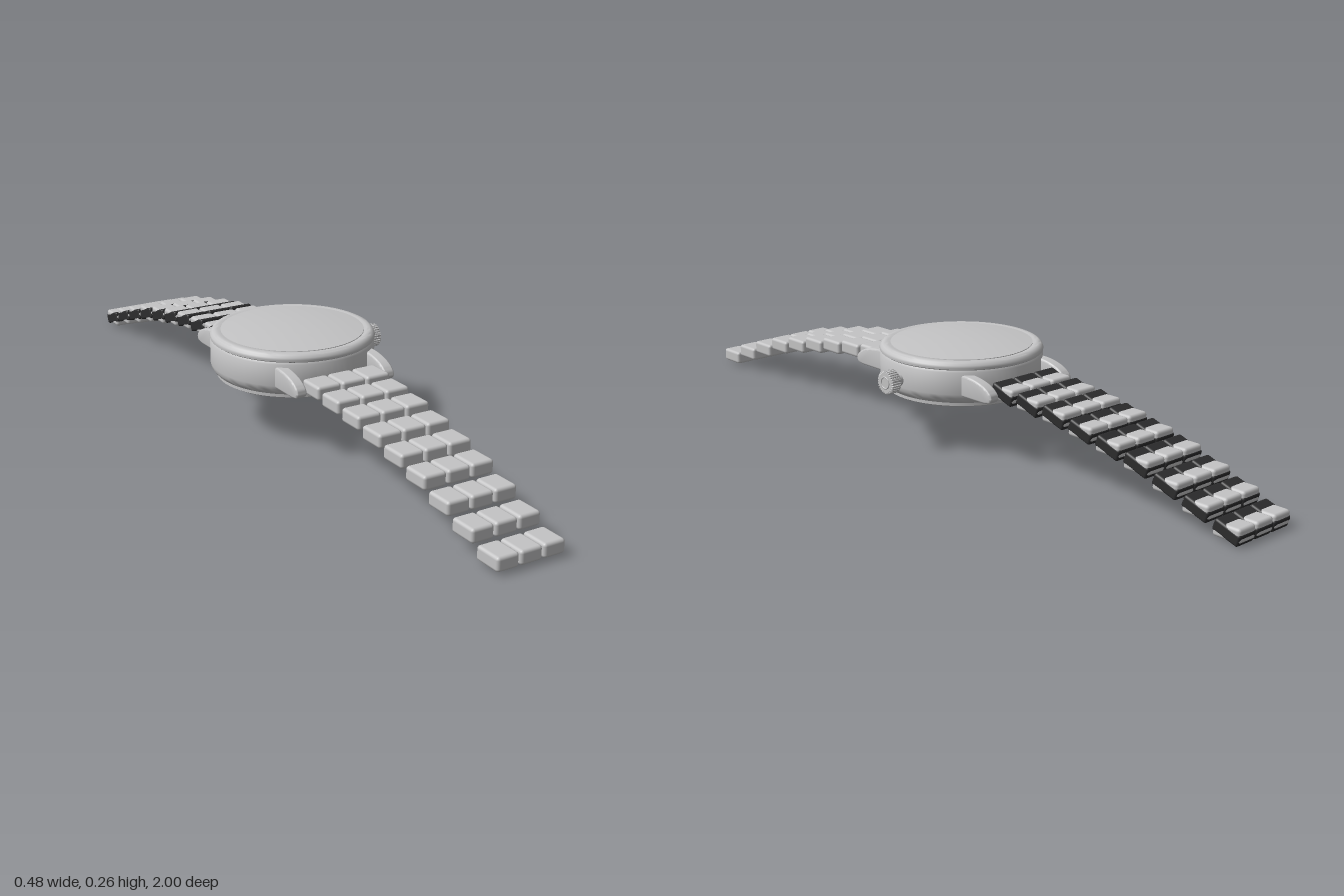
import * as THREE from 'three';
import { toCreasedNormals } from 'three/addons/utils/BufferGeometryUtils.js';
import { RoundedBoxGeometry } from 'three/addons/geometries/RoundedBoxGeometry.js';

const CX = -0.025; // case axis; the crown sticks out towards +x

export function createModel() {
  const model = new THREE.Group();
  model.name = 'wristwatch';
  const steel = new THREE.MeshStandardMaterial({ color: 0xc4c4c5 });
  steel.name = 'steel';
  const dark = new THREE.MeshStandardMaterial({ color: 0x2c2c2d });
  dark.name = 'dark lining';

  const add = (parent, name, geometry, material, x = 0, y = 0, z = 0) => {
    const mesh = new THREE.Mesh(geometry, material);
    mesh.name = name;
    mesh.position.set(x, y, z);
    parent.add(mesh);
    return mesh;
  };
  const lathe = (points) => toCreasedNormals(
    new THREE.LatheGeometry(points.map(([r, y]) => new THREE.Vector2(r, y)), 72), 0.6);

  // Case: shallow dished back, stepped lower rim, barrel side
  add(model, 'caseBody', lathe([
    [0, 0.147], [0.06, 0.145], [0.11, 0.141], [0.135, 0.136], [0.145, 0.133],
    [0.195, 0.133], [0.2, 0.136], [0.2, 0.144], [0.203, 0.146], [0.209, 0.152],
    [0.214, 0.16], [0.216, 0.17], [0.216, 0.228], [0.212, 0.234], [0.19, 0.235],
  ]), steel, CX);
  add(model, 'bezel', lathe([
    [0.19, 0.233], [0.212, 0.233], [0.216, 0.236], [0.217, 0.24], [0.215, 0.246],
    [0.21, 0.252], [0.204, 0.255], [0.196, 0.255], [0.187, 0.253],
  ]), steel, CX);
  const dome = [[0.189, 0.25], [0.188, 0.255]];
  for (let i = 1; i <= 8; i++) {
    const r = 0.186 * (1 - i / 8);
    dome.push([r, 0.267 - 0.012 * (r / 0.188) ** 2]);
  }
  add(model, 'crystal', lathe(dome), steel, CX);

  // Lugs: tapering horns with soft edges, drawn in (z, y) and extruded across x
  const horn = new THREE.Shape();
  horn.moveTo(0.1, 0.17);
  horn.lineTo(0.235, 0.17);
  horn.quadraticCurveTo(0.262, 0.171, 0.261, 0.181);
  horn.quadraticCurveTo(0.258, 0.195, 0.23, 0.206);
  horn.quadraticCurveTo(0.2, 0.216, 0.17, 0.216);
  horn.lineTo(0.1, 0.216);
  const hornGeometry = toCreasedNormals(new THREE.ExtrudeGeometry(horn, {
    depth: 0.02, bevelThickness: 0.005, bevelSize: 0.005, bevelSegments: 3, curveSegments: 8,
  }).translate(0, 0, -0.01).rotateY(-Math.PI / 2), 0.7);
  for (const sx of [-1, 1]) {
    for (const sz of [-1, 1]) {
      const lug = add(model, sz > 0 ? 'frontLug' : 'backLug', hornGeometry, steel, CX + sx * 0.13);
      if (sz < 0) lug.rotation.y = Math.PI;
    }
  }

  // Winding crown: stem, knurled wheel and end ring
  const crown = new THREE.Group();
  crown.name = 'crown';
  crown.position.set(0, 0.19, 0);
  model.add(crown);
  add(crown, 'crownStem', new THREE.CylinderGeometry(0.016, 0.016, 0.04, 24).rotateZ(Math.PI / 2), steel, 0.195);
  const wheel = new THREE.Shape();
  const teeth = 28;
  for (let i = 0; i < teeth * 4; i++) {
    const a = (i / (teeth * 4)) * Math.PI * 2;
    const r = i % 4 < 2 ? 0.029 : 0.0255;
    wheel[i ? 'lineTo' : 'moveTo'](r * Math.cos(a), r * Math.sin(a));
  }
  add(crown, 'crownWheel', toCreasedNormals(new THREE.ExtrudeGeometry(wheel, {
    depth: 0.022, bevelThickness: 0.004, bevelSize: 0.002, bevelSegments: 2,
  }).rotateY(Math.PI / 2), 0.5), steel, 0.212);
  add(crown, 'crownEndRing', new THREE.TorusGeometry(0.015, 0.002, 8, 32).rotateY(Math.PI / 2), steel, 0.238);

  // Bracelet: nine rows of three links, stepping down and narrowing from the case
  const heights = [0.186, 0.178, 0.168, 0.153, 0.135, 0.115, 0.087, 0.058, 0.028];
  for (const side of [1, -1]) {
    const strap = new THREE.Group();
    strap.name = side > 0 ? 'frontStrap' : 'backStrap';
    model.add(strap);
    heights.forEach((y, i) => {
      const t = i / (heights.length - 1);
      const z = side * (0.264 + 0.698 * t);
      const pitch = (0.216 - 0.026 * t) / 3;
      const link = new RoundedBoxGeometry(pitch - 0.004, 0.036, 0.076, 2, 0.008);
      const lining = new RoundedBoxGeometry(pitch - 0.003, 0.031, 0.076, 2, 0.006);
      for (let c = -1; c <= 1; c++) {
        add(strap, 'link', link, steel, CX + c * pitch, y, z);
        // Tilted dark pieces show between the back links and underneath them
        if (side < 0) add(strap, 'linkLining', lining, dark, CX + c * pitch, y, z).rotation.x = -0.32;
      }
    });
  }
  return model;
}
